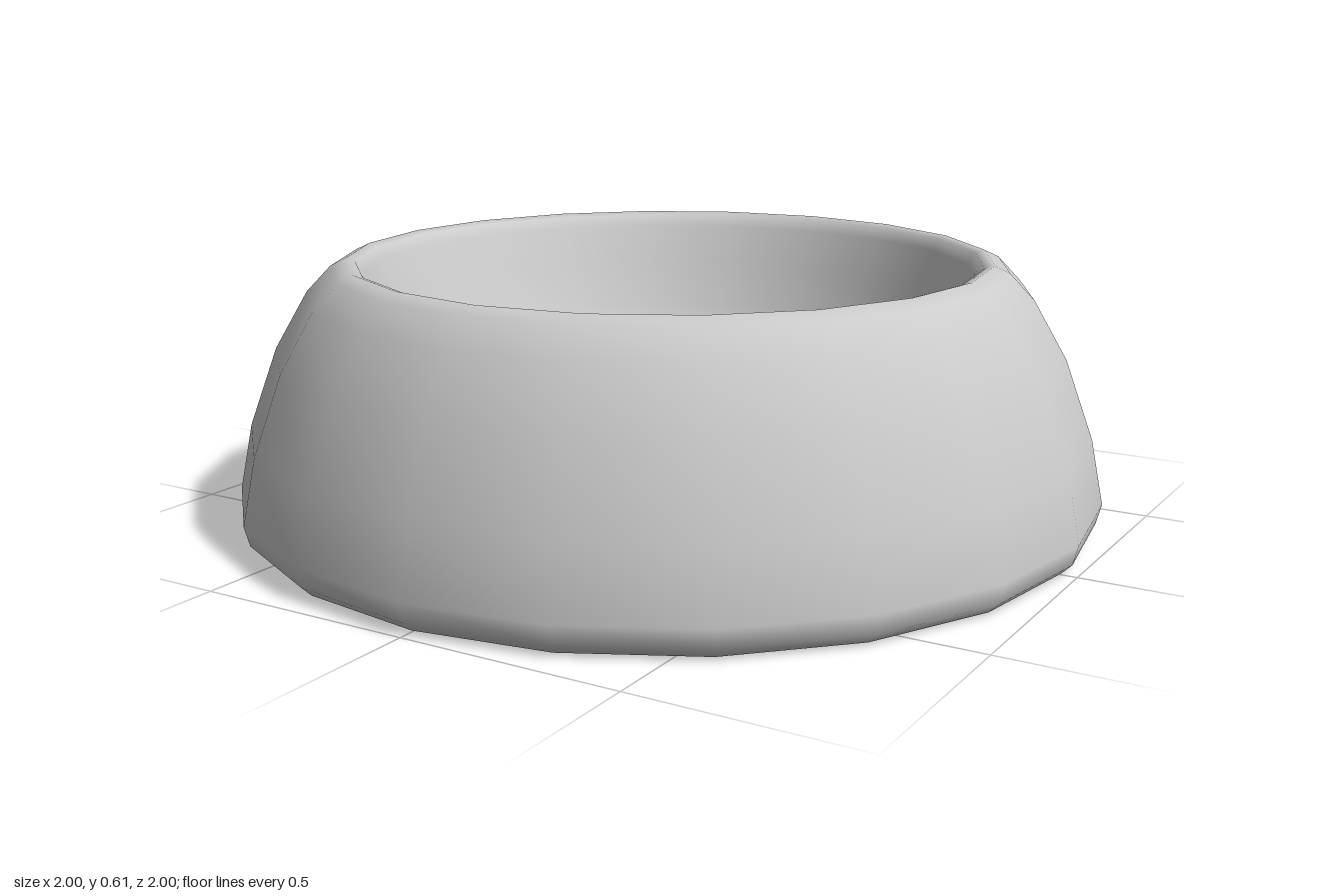
import * as THREE from 'three';

const SIDES = 20;

export function createModel() {
  const group = new THREE.Group();
  group.name = 'bowl';
  const material = new THREE.MeshStandardMaterial({ color: 0xcccccc });

  // One closed profile (radius, height), from the underside centre round to the floor centre
  const underside = [[0, 0.155], [0.46, 0.165], [0.545, 0.213], [0.61, 0.285], [0.65, 0.37], [0.69, 0.49]];
  const hollow = [[0.73, 0.47], [0.79, 0.33], [0.845, 0.17], [0.878, 0.05]];
  const foot = [[0.885, 0.015], [0.91, 0], [0.965, 0.003], [0.988, 0.025], [1, 0.07]];
  const outerWall = [[0.97, 0.22], [0.905, 0.4], [0.83, 0.53], [0.775, 0.588]];
  const rim = [[0.74, 0.605], [0.718, 0.598], [0.705, 0.57]];
  const basin = [[0.67, 0.48], [0.63, 0.37], [0.59, 0.295], [0.53, 0.225], [0.45, 0.185], [0, 0.175]];

  const profile = [...underside, ...hollow, ...foot, ...outerWall, ...rim, ...basin]
    .map(([r, y]) => new THREE.Vector2(r, y));

  const shell = new THREE.Mesh(new THREE.LatheGeometry(profile, SIDES), material);
  shell.name = 'bowlShell';
  group.add(shell);
  return group;
}
